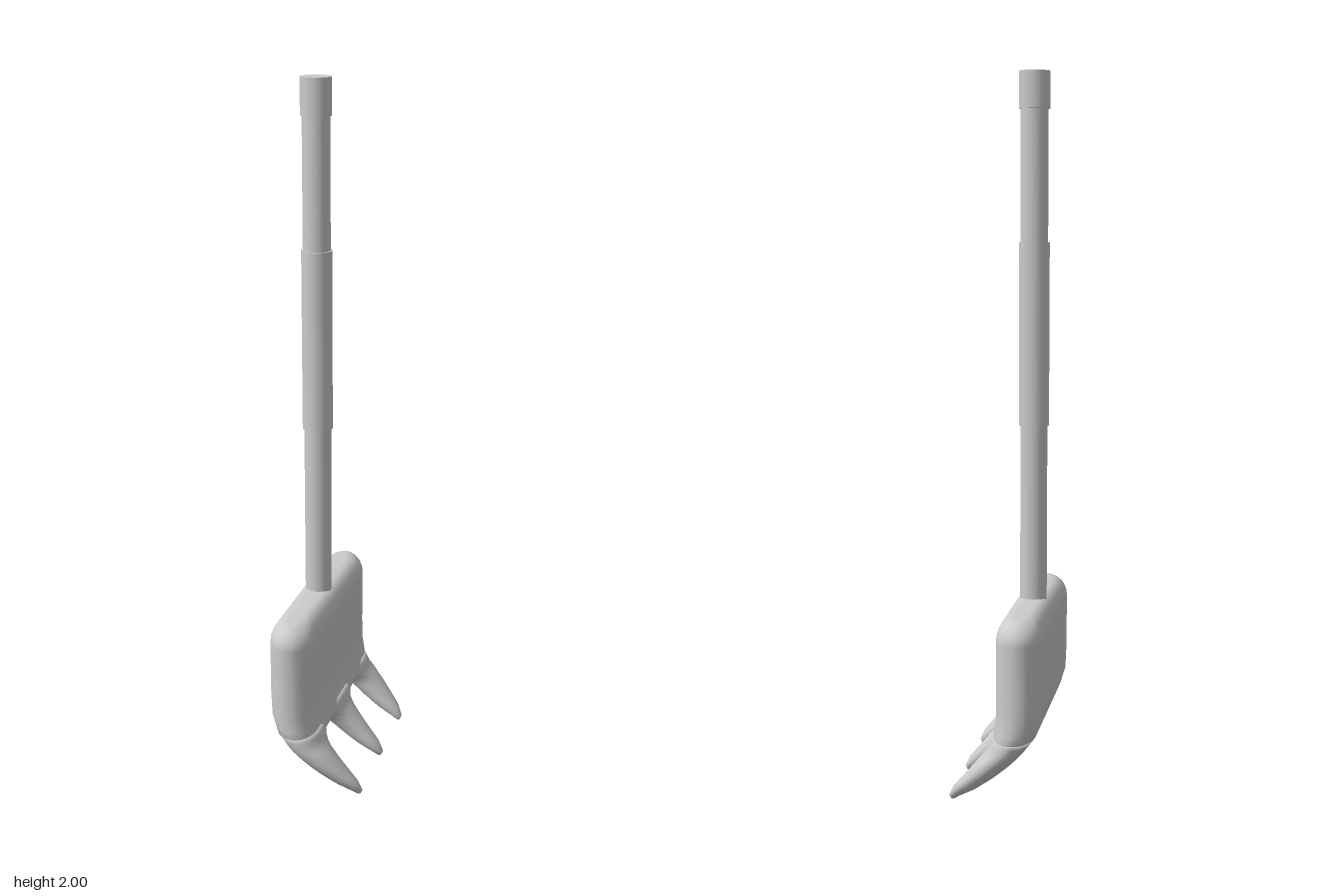
import * as THREE from 'three';

const material = new THREE.MeshStandardMaterial({ color: 0xcccccc });
const AXIS_X = -0.07;

// Back and front faces of the bent head at given heights: [y, xBack, xFront]
const bend = [
  [0, 0.117, 0.125], [0.012, 0.1, 0.131], [0.04, 0.052, 0.118], [0.08, 0.0, 0.085], [0.12, -0.045, 0.052],
  [0.16, -0.085, 0.019], [0.2, -0.115, 0.001], [0.25, -0.13, -0.006], [0.32, -0.133, -0.007], [0.6, -0.133, -0.007],
];

// Linear lookup in a table sorted by its first column
function lookup(table, y) {
  let i = 0;
  while (i < table.length - 2 && y > table[i + 1][0]) i++;
  const a = table[i], b = table[i + 1];
  const t = THREE.MathUtils.clamp((y - a[0]) / (b[0] - a[0]), 0, 1);
  return a.slice(1).map((v, k) => v + (b[k + 1] - v) * t);
}

// Skin rounded-rectangle sections, listed from top to bottom: { y, x0, x1, z0, z1 }
function loft(name, sections) {
  const steps = 6, n = 4 * (steps + 1), pos = [], index = [];
  const signs = [[1, 1], [-1, 1], [-1, -1], [1, -1]];
  for (const { y, x0, x1, z0, z1 } of sections) {
    const cx = (x0 + x1) / 2, cz = (z0 + z1) / 2, hx = (x1 - x0) / 2, hz = (z1 - z0) / 2;
    const rx = hx * 0.92, rz = Math.min(hz * 0.92, 0.08);
    signs.forEach(([sx, sz], q) => {
      for (let k = 0; k <= steps; k++) {
        const a = (q + k / steps) * Math.PI / 2;
        pos.push(cx + sx * (hx - rx) + rx * Math.cos(a), y, cz + sz * (hz - rz) + rz * Math.sin(a));
      }
    });
  }
  for (let i = 0; i < sections.length - 1; i++) {
    for (let j = 0; j < n; j++) {
      const a = i * n + j, b = i * n + (j + 1) % n;
      index.push(a, b, a + n, b, b + n, a + n);
    }
  }
  // End caps
  [sections[0], sections[sections.length - 1]].forEach((s, end) => {
    const c = pos.length / 3, base = end ? (sections.length - 1) * n : 0;
    pos.push((s.x0 + s.x1) / 2, s.y, (s.z0 + s.z1) / 2);
    for (let j = 0; j < n; j++) {
      const a = base + j, b = base + (j + 1) % n;
      if (end) index.push(c, a, b);
      else index.push(c, b, a);
    }
  });
  const geometry = new THREE.BufferGeometry();
  geometry.setAttribute('position', new THREE.Float32BufferAttribute(pos, 3));
  geometry.setIndex(index);
  geometry.computeVertexNormals();
  const mesh = new THREE.Mesh(geometry, material);
  mesh.name = name;
  return mesh;
}

function section(y, z0, z1, inset = 0) {
  const [x0, x1] = lookup(bend, y);
  return { y, x0: x0 + inset, x1: x1 - inset, z0, z1 };
}

// Broad plate with a rounded top, narrowing into the arches between the tines
function makePlate() {
  const rows = [];
  for (let k = 0; k <= 6; k++) {
    const a = k / 6 * Math.PI / 2;
    const s = 1 - Math.sin(a);
    const half = 0.31 - 0.055 * s;
    rows.push(section(0.475 + 0.06 * Math.cos(a), -half, half, 0.042 * s));
  }
  for (const y of [0.4, 0.32, 0.28, 0.25, 0.22, 0.2]) rows.push(section(y, -0.309, 0.309));
  rows.push(section(0.18, -0.3, 0.3, 0.004));
  rows.push(section(0.165, -0.285, 0.285, 0.014));
  rows.push(section(0.157, -0.275, 0.275, 0.03));
  return loft('plate', rows);
}

// Tine edges by height: [y, innerZ, outerZ]
const sideEdges = [
  [0, 0.213, 0.22], [0.006, 0.208, 0.228], [0.02, 0.203, 0.239], [0.05, 0.196, 0.261], [0.1, 0.189, 0.286],
  [0.135, 0.18, 0.298], [0.15, 0.167, 0.302], [0.16, 0.15, 0.304], [0.17, 0.135, 0.306], [0.2, 0.125, 0.308],
];
const middleEdges = [
  [0, -0.004, 0.004], [0.006, -0.011, 0.011], [0.02, -0.019, 0.019], [0.05, -0.031, 0.031], [0.1, -0.045, 0.045],
  [0.135, -0.061, 0.061], [0.15, -0.075, 0.075], [0.16, -0.092, 0.092], [0.17, -0.11, 0.11], [0.2, -0.122, 0.122],
];
const tineHeights = [0.2, 0.185, 0.17, 0.16, 0.15, 0.135, 0.12, 0.1, 0.08, 0.06, 0.04, 0.025, 0.012, 0.005, 0];

function makeTine(name, edges, side) {
  return loft(name, tineHeights.map((y) => {
    const [a, b] = lookup(edges, y);
    return section(y, side < 0 ? -b : a, side < 0 ? -a : b);
  }));
}

export function createModel() {
  const model = new THREE.Group();
  model.name = 'handFork';

  const head = new THREE.Group();
  head.name = 'head';
  head.add(makePlate());
  head.add(makeTine('leftwardTine', sideEdges, 1));
  head.add(makeTine('middleTine', middleEdges, 1));
  head.add(makeTine('rightwardTine', sideEdges, -1));
  model.add(head);

  // Straight pole with a thicker grip and end cap: name, bottom, top, radius
  const handle = new THREE.Group();
  handle.name = 'handle';
  const pieces = [
    ['lowerPole', 0.48, 1.03, 0.038], ['grip', 1.03, 1.54, 0.0425],
    ['upperPole', 1.54, 1.9, 0.038], ['endCap', 1.9, 2, 0.0425],
  ];
  for (const [name, y0, y1, r] of pieces) {
    const mesh = new THREE.Mesh(new THREE.CylinderGeometry(r, r, y1 - y0, 40), material);
    mesh.name = name;
    mesh.position.set(AXIS_X, (y0 + y1) / 2, 0);
    handle.add(mesh);
  }
  model.add(handle);
  return model;
}
